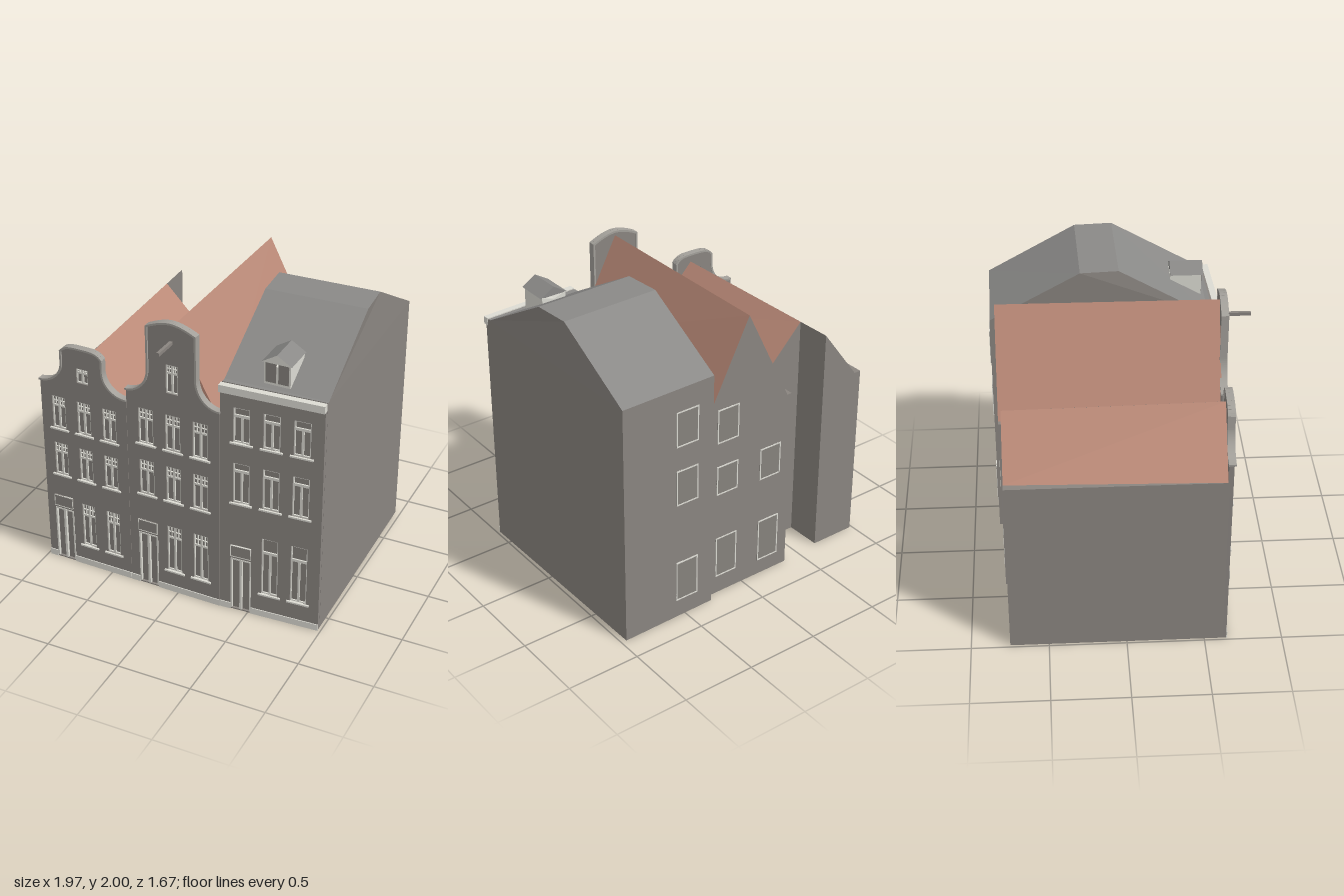
import * as THREE from 'three';

const mat = (name, color, side = THREE.FrontSide) => {
  const m = new THREE.MeshStandardMaterial({ color, side });
  m.name = name;
  return m;
};

export function createModel() {
  const wall = mat('wall grey', 0x8a8580);
  const trim = mat('trim white', 0xdcdbd3);
  const tile = mat('roof tile', 0xbb8a78);
  const slate = mat('slate grey', 0x8a8987);
  const glass = mat('pane grey', 0x86827d);
  const stone = mat('coping stone', 0xa3a09a);
  const root = new THREE.Group();

  const box = (parent, name, m, x0, x1, y0, y1, z0, z1) => {
    const mesh = new THREE.Mesh(new THREE.BoxGeometry(x1 - x0, y1 - y0, z1 - z0), m);
    mesh.position.set((x0 + x1) / 2, (y0 + y1) / 2, (z0 + z1) / 2);
    mesh.name = name;
    parent.add(mesh);
    return mesh;
  };

  // Prism between two matching sections, counter-clockwise seen from the first.
  // sides[i] colours the face from point i to i + 1; caps are [first, last].
  const loft = (name, A, B, sides, caps) => {
    const group = new THREE.Group();
    group.name = name;
    const faces = new Map();
    const tri = (m, ...p) => {
      if (!faces.has(m)) faces.set(m, []);
      p.forEach(v => faces.get(m).push(...v));
    };
    A.forEach((a, i) => {
      const j = (i + 1) % A.length;
      tri(sides[i], a, B[i], B[j]);
      tri(sides[i], a, B[j], A[j]);
      if (i > 0 && j > 0) {
        tri(caps[0], A[0], a, A[j]);
        tri(caps[1], B[0], B[j], B[i]);
      }
    });
    faces.forEach((list, m) => {
      const g = new THREE.BufferGeometry();
      g.setAttribute('position', new THREE.Float32BufferAttribute(list, 3));
      g.computeVertexNormals();
      const mesh = new THREE.Mesh(g, m);
      mesh.name = name + ' ' + m.name;
      group.add(mesh);
    });
    root.add(group);
  };
  const atZ = (z, pts) => pts.map(([x, y]) => [x, y, z]);
  const atX = (x, pts) => pts.map(([z, y]) => [x, y, z]);

  // House bodies with their roofs
  loft('leftHouseLongHalf',
    atZ(0.618, [[-0.98, 1.24], [-0.983, 1.24], [-0.983, 0], [-0.635, 0], [-0.635, 1.6]]),
    atZ(-0.75, [[-0.935, 1.24], [-0.983, 1.24], [-0.983, 0], [-0.665, 0], [-0.665, 1.6]]),
    [wall, wall, wall, wall, tile], [tile, wall]);
  loft('leftHouseShortHalf',
    atZ(0.622, [[-0.635, 1.6], [-0.635, 0], [-0.35, 0], [-0.35, 1.29]]),
    atZ(-0.51, [[-0.66, 1.6], [-0.66, 0], [-0.365, 0], [-0.365, 1.29]]),
    [wall, wall, wall, tile], [tile, wall]);
  loft('middleHouseBody',
    atZ(0.635, [[-0.348, 1.3], [-0.35, 1.3], [-0.35, 0], [0.305, 0], [0.305, 1.34], [-0.02, 1.96]]),
    atZ(-0.78, [[-0.335, 1.3], [-0.37, 1.3], [-0.37, 0], [0.29, 0], [0.29, 1.36], [-0.01, 1.96]]),
    [wall, wall, wall, wall, tile, tile], [tile, wall]);
  const mansard = (eave, face, ridge, back) => [[eave, 1.66], [face, 1.66], [face, 0], [back, 0],
    [back, 1.67], [ridge - 0.25, 2], [ridge, 2]];
  loft('rightHouseBody',
    atX(0.98, mansard(0.592, 0.61, 0, -0.835)).map(([x, y, z]) => [z < -0.1 ? 0.963 : x, y, z]),
    atX(0.305, mansard(0.605, 0.64, 0.016, -0.825)).map(([x, y, z]) => [z < -0.1 ? 0.288 : x, y, z]),
    [slate, wall, wall, wall, slate, slate, slate], [wall, wall]);

  // Windows: [x centre, width, y bottom, y top]
  const windowUnit = (g, [x, w, y0, y1], paned) => {
    const l = x - w / 2, r = x + w / 2, h = y1 - y0;
    const bar = (a, b, c, d) => box(g, 'windowBar', trim, a, b, c, d, -0.018, -0.006);
    box(g, 'windowPane', glass, l, r, y0, y1, -0.024, -0.016);
    bar(l, l + 0.007, y0, y1);
    bar(r - 0.007, r, y0, y1);
    bar(l, r, y0, y0 + 0.007);
    bar(l, r, y1 - 0.007, y1);
    const t = y1 - Math.min(h * 0.3, 0.09);
    if (paned) {
      bar(x - 0.007, x + 0.007, y0, y1);
      bar(l, r, t - 0.006, t + 0.006);
      bar(l, r, (t + y1) / 2 - 0.002, (t + y1) / 2 + 0.002);
      for (const s of [-1, 1]) bar(x + s * w * 0.24 - 0.002, x + s * w * 0.24 + 0.002, t, y1);
    } else {
      const k = h > 0.35 ? y1 - 0.11 : y1 - 0.06;
      bar(l, r, k - 0.009, k + 0.009);
      bar(x - 0.007, x + 0.007, y0, k);
    }
    if (h > 0.21) box(g, 'windowSill', trim, l - 0.02, r + 0.02, y0 - 0.011, y0, -0.01, 0.013);
  };

  // Double door with a panel above it
  const door = (g, x) => {
    const l = x - 0.07, r = x + 0.07;
    box(g, 'doorLeaf', glass, l, r, 0, 0.4, -0.024, -0.016);
    for (const [a, b] of [[l, l + 0.01], [x - 0.008, x + 0.008], [r - 0.01, r]])
      box(g, 'doorFrame', trim, a, b, 0.01, 0.4, -0.018, 0.004);
    box(g, 'doorHead', trim, l, r, 0.393, 0.402, -0.018, 0.004);
    box(g, 'doorPanel', wall, l, r, 0.42, 0.505, -0.002, 0.008);
    for (const y of [0.42, 0.501]) box(g, 'panelEdge', trim, l, r, y, y + 0.004, 0, 0.011);
    for (const e of [l, r - 0.004]) box(g, 'panelEdge', trim, e, e + 0.004, 0.42, 0.505, 0, 0.011);
  };

  // Front wall pierced by its windows and door; x is measured from the centre
  const facade = (name, cx, z, turn, shape, half, doorX, windows, paned) => {
    const g = new THREE.Group();
    g.name = name;
    g.position.set(cx, 0, z);
    g.rotation.y = turn;
    root.add(g);
    const hole = (a, b, c, d) => shape.holes.push(new THREE.Path(
      [[a, c], [a, d], [b, d], [b, c]].map(p => new THREE.Vector2(...p))));
    windows.forEach(([x, w, c, d]) => hole(x - w / 2, x + w / 2, c, d));
    hole(doorX - 0.07, doorX + 0.07, 0.008, 0.4);
    const plate = new THREE.Mesh(
      new THREE.ExtrudeGeometry(shape, { depth: 0.032, bevelEnabled: false, curveSegments: 10 }), wall);
    plate.position.z = -0.032;
    plate.name = 'frontWall';
    g.add(plate);
    windows.forEach(w => windowUnit(g, w, paned));
    door(g, doorX);
    box(g, 'plinth', trim, -half, doorX - 0.07, 0, 0.045, -0.01, 0.006);
    box(g, 'plinth', trim, doorX + 0.07, half, 0, 0.045, -0.01, 0.006);
    return g;
  };

  // Neck gable outline with swept shoulders
  const gable = (half, foot, neck, shoulder, top, peak, rounded) => {
    const s = new THREE.Shape();
    const rx = half - neck, ry = shoulder - foot;
    s.moveTo(-half, 0).lineTo(half, 0).lineTo(half, foot);
    s.absellipse(half, shoulder, rx, ry, -Math.PI / 2, -Math.PI, true, 0);
    s.lineTo(neck, top);
    if (rounded) s.bezierCurveTo(neck * 0.8, peak, neck * 0.5, peak, 0, peak)
      .bezierCurveTo(-neck * 0.5, peak, -neck * 0.8, peak, -neck, top);
    else s.quadraticCurveTo(neck * 0.4, peak, 0, peak).quadraticCurveTo(-neck * 0.4, peak, -neck, top);
    s.lineTo(-neck, shoulder);
    s.absellipse(-half, shoulder, rx, ry, 0, -Math.PI / 2, true, 0);
    s.lineTo(-half, 0);
    return s;
  };
  const coping = (g, shape, foot) => {
    const pts = shape.getPoints(10).filter(p => p.y > foot - 0.01);
    for (let i = 1; i < pts.length; i++) {
      const a = pts[i - 1], b = pts[i], d = a.distanceTo(b);
      if (d < 1e-4) continue;
      const m = box(g, 'coping', stone, 0, d + 0.008, 0, 0.013, -0.036, 0.012);
      m.position.set((a.x + b.x) / 2, (a.y + b.y) / 2, -0.012);
      m.rotation.z = Math.atan2(b.y - a.y, b.x - a.x);
    }
  };
  const grid = (xs, w, rows) => rows.flatMap(([a, b]) => xs.map(x => [x, w, a, b]));

  const leftShape = gable(0.316, 1.37, 0.148, 1.53, 1.61, 1.652, true);
  const left = facade('leftHouseFront', -0.667, 0.65, -0.025, leftShape, 0.316, -0.187, [
    ...grid([-0.187, 0, 0.187], 0.098, [[1.03, 1.265], [0.675, 0.915]]),
    ...grid([0, 0.187], 0.098, [[0.16, 0.485]]), [0, 0.085, 1.405, 1.51]], true);
  coping(left, leftShape, 1.37);

  const midShape = gable(0.327, 1.46, 0.167, 1.64, 1.935, 1.985, false);
  const middle = facade('middleHouseFront', -0.022, 0.667, -0.025, midShape, 0.327, -0.192, [
    ...grid([-0.192, 0, 0.192], 0.105, [[1.09, 1.345], [0.71, 0.965]]),
    ...grid([0, 0.192], 0.105, [[0.165, 0.51]]), [0, 0.085, 1.5, 1.7]], true);
  coping(middle, midShape, 1.46);
  box(middle, 'hoistBeam', wall, -0.01, 0.01, 1.845, 1.867, -0.05, 0.165);

  const flat = new THREE.Shape([[-0.338, 0], [0.338, 0], [0.338, 1.655], [-0.338, 1.655]]
    .map(p => new THREE.Vector2(...p)));
  const right = facade('rightHouseFront', 0.643, 0.657, 0.045, flat, 0.338, -0.193, [
    ...grid([-0.195, 0.002, 0.198], 0.11, [[1.27, 1.515], [0.83, 1.12]]),
    ...grid([0.002, 0.198], 0.11, [[0.18, 0.605]])], false);
  box(right, 'cornice', trim, -0.34, 0.34, 1.612, 1.662, -0.02, 0.022);

  // Dormer
  const dormerWall = [[0.635, 1.8], [0.55, 1.83], [0.55, 1.62], [0.725, 1.62], [0.725, 1.83]];
  loft('dormerWalls', atZ(0.575, dormerWall), atZ(0.37, dormerWall), Array(5).fill(trim), [trim, trim]);
  const dormerRoof = [[0.638, 1.885], [0.54, 1.825], [0.735, 1.825]];
  loft('dormerRoof', atZ(0.587, dormerRoof), atZ(0.37, dormerRoof), [slate, slate, slate], [trim, slate]);
  for (const [a, b] of [[0.562, 0.63], [0.645, 0.713]])
    box(root, 'dormerPane', glass, a, b, 1.69, 1.82, 0.57, 0.578);

  // Rear windows: outlined plates on the back walls
  const rear = (x, y0, y1, z) => {
    const w = 0.083;
    box(root, 'rearPane', glass, x - w, x + w, y0, y1, z - 0.002, z + 0.004);
    for (const y of [y0, y1 - 0.008]) box(root, 'rearFrame', trim, x - w, x + w, y, y + 0.008, z - 0.005, z + 0.003);
    for (const e of [x - w, x + w - 0.008])
      box(root, 'rearFrame', trim, e, e + 0.008, y0, y1, z - 0.005, z + 0.003);
  };
  for (const [a, b] of [[1.27, 1.515], [0.85, 1.1], [0.13, 0.42]]) rear(0.49, a, b, -0.831);
  for (const [a, b] of [[1.14, 1.38], [0.76, 0.97], [0.13, 0.43]]) rear(0.137, a, b, -0.78);
  for (const [a, b] of [[0.74, 0.97], [0.11, 0.42]]) rear(-0.21, a, b, -0.78);

  return root;
}
